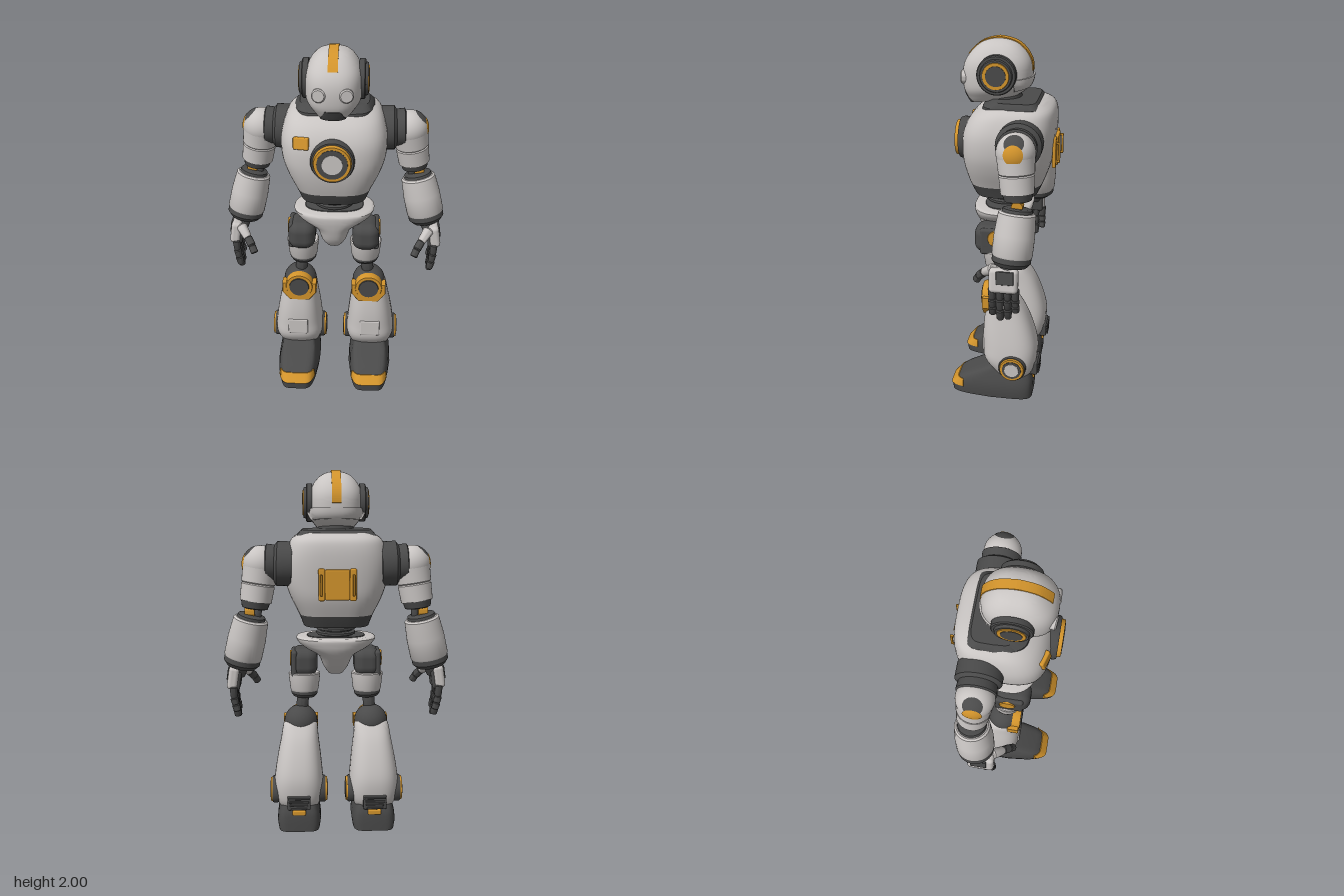
import * as THREE from 'three';
import { toCreasedNormals } from 'three/addons/utils/BufferGeometryUtils.js';
import { RoundedBoxGeometry } from 'three/addons/geometries/RoundedBoxGeometry.js';

const material = (name, color) => Object.assign(new THREE.MeshStandardMaterial({ color }), { name });
const light = material('light shell', 0xc9c5c3);
const dark = material('dark joint', 0x4a4a4a);
const orange = material('orange accent', 0xd4952c);

const UP = new THREE.Vector3(0, 1, 0);
const V = (p) => new THREE.Vector3(...p);

function add(parent, name, mat, geo) {
  const mesh = new THREE.Mesh(geo, mat);
  mesh.name = name;
  parent.add(mesh);
  return mesh;
}

// Catmull-Rom refinement of section rows
function smooth(rows, k = 4) {
  const out = [];
  for (let i = 0; i < rows.length - 1; i++) {
    const [p, a, b, q] = [rows[Math.max(i - 1, 0)], rows[i], rows[i + 1], rows[Math.min(i + 2, rows.length - 1)]];
    for (let j = 0; j < k; j++) {
      const t = j / k;
      out.push(a.map((v, c) => {
        const cubic = 3 * (v - b[c]) + q[c] - p[c];
        const square = 2 * p[c] - 5 * v + 4 * b[c] - q[c];
        return v + 0.5 * t * (b[c] - p[c] + t * (square + t * cubic));
      }));
    }
  }
  return [...out, rows.at(-1)];
}

// Closed body from superellipse sections [y, half width, back z, front z, centre x]
function loft(rows, { power = 2.6, n = 48, crease = 0.7, warp } = {}) {
  const cap = ([y, , zb, zf, cx]) => [y, 0, (zb + zf) / 2, (zb + zf) / 2, cx];
  const all = [cap(rows[0]), ...rows, cap(rows.at(-1))];
  const pos = [], index = [];
  const pw = (v) => Math.sign(v) * Math.abs(v) ** (2 / power);
  all.forEach(([y, hw, zb, zf, cx = 0], i) => {
    for (let j = 0; j < n; j++) {
      const a = (j / n) * Math.PI * 2;
      const p = V([hw * pw(Math.sin(a)), y, (zb + zf) / 2 + ((zf - zb) / 2) * pw(Math.cos(a))]);
      if (warp) warp(p);
      pos.push(p.x + cx, p.y, p.z);
      if (i === all.length - 1) continue;
      const A = i * n + j, B = i * n + (j + 1) % n;
      if (i > 0) index.push(A, B, A + n);
      if (i < all.length - 2) index.push(B, B + n, A + n);
    }
  });
  const geo = new THREE.BufferGeometry();
  geo.setAttribute('position', new THREE.Float32BufferAttribute(pos, 3));
  geo.setIndex(index);
  return toCreasedNormals(geo, crease);
}

// Turned part along a to b; profile is [radius, fraction of length]
function turn(parent, name, mat, a, b, profile, seg = 32) {
  const dir = V(b).sub(V(a)), len = dir.length();
  const pts = [[0, profile[0][1]], ...profile, [0, profile.at(-1)[1]]].map(([r, t]) => new THREE.Vector2(r, t * len));
  const mesh = add(parent, name, mat, toCreasedNormals(new THREE.LatheGeometry(pts, seg), 0.6));
  mesh.quaternion.setFromUnitVectors(UP, dir.normalize());
  mesh.position.set(...a);
}
const rod = (parent, name, mat, a, b, r, r2 = r) =>
  turn(parent, name, mat, a, b, [[r * 0.8, 0], [r, 0.1], [r2, 0.9], [r2 * 0.8, 1]], 24);

function box(parent, name, mat, size, pos, rot = [0, 0, 0], r = 0.008) {
  const mesh = add(parent, name, mat, new RoundedBoxGeometry(...size, 3, r));
  mesh.position.set(...pos);
  mesh.rotation.set(...rot);
}

// Round hub of stacked discs: [material, radius, height]
function hub(parent, name, pos, dir, discs) {
  const d = V(dir).normalize();
  for (const [mat, r, h] of discs)
    turn(parent, name, mat, pos, V(pos).addScaledVector(d, h).toArray(), [[r, -0.5], [r, 0.75], [r * 0.95, 1]], 40);
}

// Thin spherical patch facing a direction
function patch(parent, name, mat, centre, dir, r, angle) {
  const mesh = add(parent, name, mat, new THREE.SphereGeometry(r, 28, 8, 0, Math.PI * 2, 0, angle));
  mesh.quaternion.setFromUnitVectors(UP, V(dir).normalize());
  mesh.position.set(...centre);
}

const grow = (rows, lo, hi, d) => rows.filter((r) => r[0] >= lo && r[0] <= hi)
  .map(([y, w, b, f, c = 0]) => [y, w + d, b - d, f + d, c]);

function buildHead(g) {
  const rows = smooth([[1.66, 0.09, -0.06, 0.2], [1.69, 0.115, -0.1, 0.215], [1.74, 0.143, -0.125, 0.235], [1.82, 0.148, -0.13, 0.24],
    [1.88, 0.143, -0.125, 0.225], [1.93, 0.122, -0.1, 0.19], [1.97, 0.088, -0.06, 0.145], [1.99, 0.05, -0.015, 0.1], [2, 0.004, 0.036, 0.05]], 5);
  const tilt = (p) => { p.y += (0.2 - p.z) * 0.18 * Math.max(0, 1 - (p.y - 1.66) / 0.2); };
  add(g, 'head', light, loft(rows, { warp: tilt }));
  add(g, 'chinPlate', dark, loft(grow(rows, 1.65, 1.725, 0.004), { warp: (p) => {
    p.z = Math.max(p.z, 0.12);
    const w = 0.068 - (p.y - 1.66) * 0.5;
    p.x = THREE.MathUtils.clamp(p.x, -w, w);
    tilt(p);
  } }));
  add(g, 'headBackPlate', light, loft(grow(rows, 1.7, 1.8, 0.008), { warp: (p) => { p.z = Math.min(p.z, -0.05); tilt(p); } }));
  // crown stripe following the skull profile
  const path = [...rows.filter((r) => r[0] > 1.905).map((r) => [r[3], r[0]]),
    ...rows.filter((r) => r[0] > 1.83).reverse().map((r) => [r[2], r[0]])];
  const scaled = (k) => path.map(([z, y]) => new THREE.Vector2(0.05 + (z - 0.05) * k, 1.8 + (y - 1.8) * k));
  const stripe = new THREE.ExtrudeGeometry(new THREE.Shape([...scaled(1.02), ...scaled(0.9).reverse()]), { depth: 0.05, bevelEnabled: false });
  add(g, 'crownStripe', orange, stripe.rotateY(-Math.PI / 2).translate(0.025, 0, 0));
  turn(g, 'neck', dark, [0, 1.6, 0.02], [0, 1.75, 0.03], [[0.11, 0], [0.09, 1]]);
  for (const s of [-1, 1]) {
    hub(g, 'ear', [s * 0.14, 1.83, 0.04], [s, 0, 0], [[dark, 0.103, 0.022], [dark, 0.085, 0.036], [orange, 0.072, 0.04], [dark, 0.055, 0.042]]);
    turn(g, 'eye', light, [s * 0.066, 1.8, 0.2], [s * 0.071, 1.8, 0.241], [[0.036, 0], [0.036, 0.85], [0.03, 1]]);
  }
}

function buildTorso(g) {
  const rows = smooth([[1.17, 0.18, -0.17, 0.17], [1.235, 0.205, -0.2, 0.2], [1.33, 0.25, -0.235, 0.225], [1.42, 0.278, -0.25, 0.235],
    [1.52, 0.283, -0.26, 0.228], [1.6, 0.264, -0.26, 0.19], [1.65, 0.235, -0.245, 0.13], [1.68, 0.18, -0.2, 0.06]]);
  add(g, 'torso', light, loft(rows.slice(4), { power: 3.2 }));
  add(g, 'torsoBase', dark, loft(rows.slice(0, 5), { power: 3.2 }));
  add(g, 'collar', dark, loft([[1.6, 0.218, -0.195, 0.13], [1.665, 0.212, -0.19, 0.12], [1.693, 0.185, -0.165, 0.07]], {
    power: 6, warp: (p) => { p.x *= 1 - Math.max(0, p.z) * 1.5; } }));
  hub(g, 'chestLamp', [0, 1.45, 0.2], [0, 0, 1], [[dark, 0.115, 0.06], [orange, 0.1, 0.08], [dark, 0.084, 0.082], [light, 0.056, 0.084]]);
  box(g, 'chestBadge', orange, [0.085, 0.065, 0.03], [-0.162, 1.535, 0.206], [-0.2, -0.3, 0]);
  // back hatch with handles
  box(g, 'backHatch', orange, [0.13, 0.16, 0.03], [0, 1.415, -0.26]);
  for (const s of [-1, 1]) {
    box(g, 'hatchRail', orange, [0.035, 0.17, 0.02], [s * 0.083, 1.415, -0.258]);
    box(g, 'hatchHandle', orange, [0.012, 0.11, 0.012], [s * 0.085, 1.415, -0.284], [0, 0, 0], 0.004);
    for (const y of [1.365, 1.465]) box(g, 'handlePost', orange, [0.012, 0.012, 0.04], [s * 0.085, y, -0.27], [0, 0, 0], 0.004);
  }
  // bellows waist
  const fins = [];
  for (let i = 0; i < 5; i++) fins.push([0.09, i / 5], [0.108, i / 5 + 0.04], [0.108, i / 5 + 0.13], [0.09, i / 5 + 0.17]);
  turn(g, 'waist', dark, [0, 1.05, 0.01], [0, 1.19, 0.01], fins);
  // pelvis shell with tapered centre
  add(g, 'pelvis', light, loft(smooth([[0.875, 0.04, 0.01, 0.1], [0.92, 0.07, -0.04, 0.14], [0.99, 0.1, -0.1, 0.165], [1.03, 0.165, -0.125, 0.175],
    [1.06, 0.205, -0.135, 0.18], [1.09, 0.222, -0.14, 0.18], [1.1, 0.205, -0.125, 0.165]], 3), { power: 2.5 }));
  add(g, 'pelvisTop', dark, loft([[1.08, 0.17, -0.1, 0.13], [1.104, 0.16, -0.09, 0.12]]));
}

function buildArm(g, s) {
  const P = (x, y, z) => [s * x, y, z];
  turn(g, 'shoulderJoint', dark, P(0.24, 1.51, -0.1), P(0.385, 1.515, -0.1), [[0.12, 0], [0.12, 0.55], [0.1, 0.65], [0.104, 0.95], [0.09, 1]]);
  const ball = P(0.405, 1.51, -0.1);
  add(g, 'shoulder', light, new THREE.SphereGeometry(0.1, 36, 24)).position.set(...ball);
  patch(g, 'shoulderPanel', dark, ball, [s * 0.75, 0.75, 0], 0.102, 0.52);
  patch(g, 'shoulderMark', orange, ball, [s, 0.15, 0], 0.104, 0.5);
  turn(g, 'upperArm', light, ball, P(0.437, 1.31, -0.115), [[0.098, 0.05], [0.092, 0.5], [0.086, 0.53], [0.091, 0.56], [0.086, 1]]);
  rod(g, 'upperArmCuff', dark, P(0.436, 1.32, -0.115), P(0.443, 1.27, -0.118), 0.08, 0.07);
  for (const d of [-0.024, 0.024]) rod(g, 'elbowLink', dark, P(0.445 + d, 1.29, -0.118), P(0.455 + d, 1.2, -0.12), 0.02);
  hub(g, 'elbowPin', P(0.46, 1.255, -0.12), [s, 0, 0], [[orange, 0.03, 0.035]]);
  const at = (t) => P(0.458 + 0.068 * t, 1.24 - 0.29 * t, -0.12 + 0.025 * t);
  rod(g, 'forearmTop', dark, at(0), at(0.2), 0.075, 0.085);
  turn(g, 'forearm', light, at(0.07), at(0.84), [[0.085, 0], [0.095, 0.04], [0.104, 0.5], [0.104, 0.95], [0.098, 1]], 40);
  turn(g, 'forearmEnd', dark, at(0.8), at(1), [[0.1, 0], [0.1, 0.6], [0.08, 1]], 40);
  // hand
  rod(g, 'wrist', dark, at(0.95), P(0.55, 0.9, -0.07), 0.045);
  box(g, 'palm', light, [0.06, 0.13, 0.15], P(0.568, 0.885, -0.065), [0, 0, s * 0.15], 0.022);
  box(g, 'palmPad', dark, [0.035, 0.11, 0.13], P(0.545, 0.87, -0.065), [0, 0, s * 0.15], 0.015);
  box(g, 'handPlate', dark, [0.012, 0.07, 0.09], P(0.595, 0.91, -0.075), [0, 0, s * 0.15], 0.004);
  [[-0.125, 0.7], [-0.085, 0.66], [-0.045, 0.65], [-0.006, 0.68]].forEach(([z, tip]) => {
    const knots = [P(0.568, 0.84, z), P(0.565, 0.775, z), P(0.558, (0.775 + tip) / 2, z), P(0.548, tip, z)];
    for (let i = 0; i < 3; i++) rod(g, 'finger', dark, knots[i], knots[i + 1], 0.022, 0.019);
  });
  rod(g, 'thumbBase', light, P(0.535, 0.93, -0.01), P(0.49, 0.885, 0.05), 0.03, 0.024);
  rod(g, 'thumb', dark, P(0.492, 0.887, 0.047), P(0.465, 0.85, 0.08), 0.023);
  rod(g, 'thumbTip', dark, P(0.466, 0.852, 0.078), P(0.448, 0.815, 0.1), 0.021);
}

function buildLeg(g, s) {
  const P = (x, y, z) => [s * x, y, z];
  const X = (rows) => rows.map(([y, w, b, f, c = 0.213]) => [y, w, b, f, s * c]);
  // thigh
  box(g, 'hip', dark, [0.15, 0.16, 0.2], P(0.178, 0.945, 0.055), [0, 0, 0], 0.055);
  box(g, 'hipPlate', dark, [0.035, 0.15, 0.16], P(0.235, 0.94, 0.04), [0, 0, 0], 0.016);
  hub(g, 'hipDisc', P(0.245, 0.965, 0.03), [s, 0, 0], [[orange, 0.045, 0.014]]);
  turn(g, 'thighCuff', light, P(0.178, 0.78, 0.02), P(0.178, 0.885, 0.025), [[0.075, 0], [0.08, 0.1], [0.09, 0.95], [0.085, 1]]);
  turn(g, 'thighEnd', dark, P(0.18, 0.748, 0.02), P(0.178, 0.79, 0.02), [[0.062, 0], [0.074, 0.4], [0.074, 1]]);
  rod(g, 'kneeRod', dark, P(0.195, 0.64, 0.015), P(0.185, 0.77, 0.02), 0.034);
  // knee
  add(g, 'knee', dark, new THREE.SphereGeometry(0.094, 32, 20)).position.set(...P(0.2, 0.602, 0.005));
  const corners = [[-0.095, 0.02], [-0.095, -0.04], [-0.055, -0.09], [0.055, -0.09], [0.095, -0.04], [0.095, 0.02]];
  const cup = new THREE.Shape(corners.map((p) => new THREE.Vector2(...p)));
  add(g, 'kneeCup', orange, new THREE.ExtrudeGeometry(cup, { depth: 0.055, bevelSize: 0.003, bevelThickness: 0.005, bevelSegments: 1 }))
    .position.set(...P(0.2, 0.6, 0.042));
  hub(g, 'kneeCap', P(0.2, 0.6, 0.07), [0, 0, 1], [[orange, 0.078, 0.038], [dark, 0.058, 0.044]]);
  // shin
  add(g, 'shin', light, loft(smooth(X([[0.12, 0.1, -0.15, 0], [0.17, 0.125, -0.185, 0.05], [0.24, 0.14, -0.2, 0.1], [0.32, 0.135, -0.2, 0.105],
    [0.42, 0.122, -0.175, 0.105, 0.21], [0.52, 0.106, -0.135, 0.095, 0.206], [0.59, 0.096, -0.09, 0.08, 0.203], [0.615, 0.08, -0.07, 0.062, 0.2]])), { power: 2.8 }));
  box(g, 'shinPanel', light, [0.115, 0.1, 0.02], P(0.212, 0.32, 0.1));
  box(g, 'heelVent', dark, [0.13, 0.08, 0.05], P(0.213, 0.18, -0.183));
  for (let i = 0; i < 4; i++) box(g, 'ventFin', dark, [0.12 - i * 0.01, 0.01, 0.02], P(0.213, 0.21 - i * 0.02, -0.207), [0, 0, 0], 0.003);
  box(g, 'heelTab', orange, [0.075, 0.03, 0.03], P(0.213, 0.115, -0.175));
  for (const d of [-1, 1])
    hub(g, 'ankleHub', P(0.213 + d * 0.12, 0.22, -0.075), [s * d, 0, 0], [[dark, 0.077, 0.03], [orange, 0.07, 0.04], [dark, 0.056, 0.042], [light, 0.042, 0.044]]);
  // foot
  const rows = X([[0, 0.118, -0.18, 0.285], [0.045, 0.125, -0.182, 0.29], [0.09, 0.12, -0.182, 0.25],
    [0.115, 0.114, -0.18, 0.215], [0.16, 0.1, -0.165, 0.12], [0.2, 0.085, -0.14, 0.03]]);
  const taper = (p) => { p.x *= 1 - 0.28 * Math.max(0, (p.z - 0.1) / 0.19); };
  add(g, 'foot', dark, loft(rows, { power: 6, crease: 0.4, warp: taper }));
  add(g, 'toeCap', orange, loft(grow(rows, 0.04, 0.1, 0.004), { power: 6, crease: 0.4, warp: (p) => { p.z = Math.max(p.z, 0.215); taper(p); } }));
}

export function createModel() {
  const model = new THREE.Group();
  model.name = 'robot';
  const part = (name, build, ...args) => {
    const g = new THREE.Group();
    g.name = name;
    build(g, ...args);
    model.add(g);
  };
  part('headGroup', buildHead);
  part('torsoGroup', buildTorso);
  for (const [side, s] of [['left', 1], ['right', -1]]) {
    part(side + 'Arm', buildArm, s);
    part(side + 'Leg', buildLeg, s);
  }
  return model;
}
